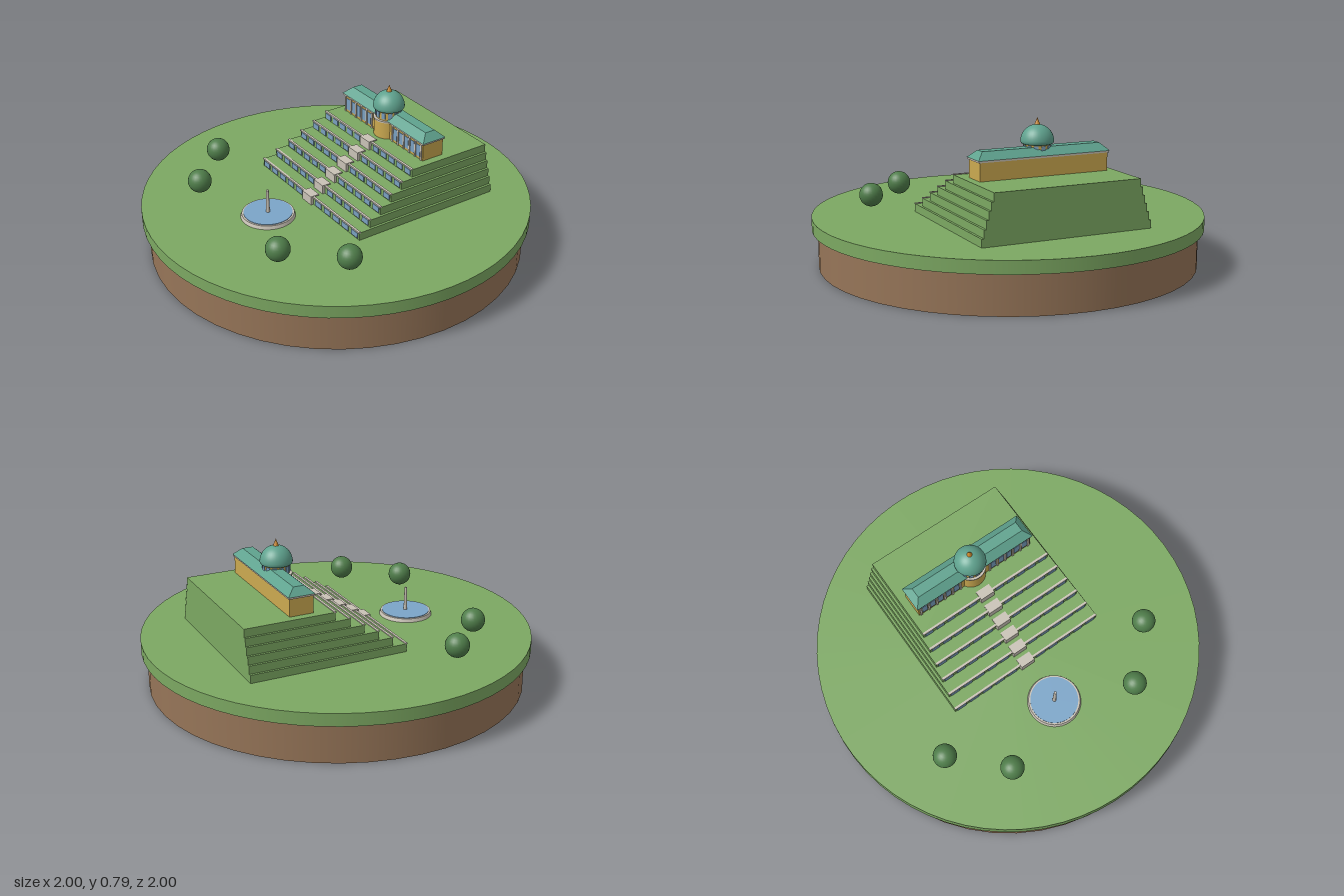
import * as THREE from 'three';

const mat = (name, color) => {
  const m = new THREE.MeshStandardMaterial({ color });
  m.name = name;
  return m;
};

export function createModel() {
  const grass = mat('grass', 0x7ca862);
  const soil = mat('soil', 0x967558);
  const stone = mat('stone', 0xc9c2b6);
  const glass = mat('glass', 0x7aa0c0);
  const ochre = mat('ochreWall', 0xcba950);
  const copper = mat('copperRoof', 0x5fa28e);
  const leaf = mat('leaf', 0x4f7d4a);
  const gold = mat('goldFinial', 0xcc8a30);
  const water = mat('water', 0x7ba5c8);

  const model = new THREE.Group();
  model.name = 'terracedPalaceIsland';

  const add = (parent, name, geo, material, x = 0, y = 0, z = 0) => {
    const m = new THREE.Mesh(geo, material);
    m.name = name;
    m.position.set(x, y, z);
    parent.add(m);
    return m;
  };
  // Box given by its ranges in y and z, centred on x
  const block = (parent, name, material, x, w, y0, y1, z0, z1) =>
    add(parent, name, new THREE.BoxGeometry(w, y1 - y0, z1 - z0), material, x, (y0 + y1) / 2, (z0 + z1) / 2);
  // Upright cylinder given by its range in y
  const drum = (parent, name, material, r0, r1, y0, y1, x, z, n = 32) =>
    add(parent, name, new THREE.CylinderGeometry(r1, r0, y1 - y0, n), material, x, (y0 + y1) / 2, z);

  // Island
  const GROUND = 0.265;
  drum(model, 'soilBase', soil, 0.97, 0.97, 0, 0.2, 0, 0, 48);
  drum(model, 'grassDisc', grass, 1, 1, 0.2, GROUND, 0, 0, 64);

  // Everything on the garden axis is turned together
  const estate = new THREE.Group();
  estate.name = 'estate';
  estate.rotation.y = -THREE.MathUtils.degToRad(20);
  model.add(estate);

  // Terraces with glazed fronts, stone rails and stair blocks
  const STEP = 0.0415, COUNT = 6, BACK = -0.663;
  for (let i = 0; i < COUNT; i++) {
    const y0 = GROUND + i * STEP, y1 = y0 + STEP;
    const front = 0.166 - i * 0.0716;
    const half = 0.447 - i * 0.0125;
    block(estate, 'terrace', grass, 0, half * 2, y0, y1, BACK, front);
    block(estate, 'terraceRail', stone, 0, half * 2, y1 - 0.003, y1 + 0.004, front - 0.008, front + 0.004);
    block(estate, 'stairBlock', stone, 0, 0.08, y0, y1 + 0.006, front - 0.035, front + 0.015);
    const n = 5, pitch = (half - 0.05) / n;
    for (const side of [-1, 1]) {
      for (let k = 0; k < n; k++) {
        block(estate, 'terraceWindow', glass, side * (0.05 + (k + 0.5) * pitch), pitch * 0.68,
          y0 + 0.006, y1 - 0.006, front - 0.003, front + 0.004);
      }
    }
  }

  // Palace
  const palace = new THREE.Group();
  palace.name = 'palace';
  palace.position.set(0, GROUND + COUNT * STEP, -0.352);
  estate.add(palace);

  const WALL = 0.09, HALF = 0.343, DEPTH = 0.062;
  block(palace, 'walls', ochre, 0, HALF * 2, 0, WALL, -DEPTH, DEPTH);
  block(palace, 'cornice', stone, 0, HALF * 2 + 0.012, WALL, WALL + 0.01, -DEPTH - 0.005, DEPTH + 0.005);

  // Windows and pilasters on both wings
  for (const side of [-1, 1]) {
    for (let k = 0; k < 6; k++) {
      const x = side * (0.09 + k * 0.048);
      block(palace, 'pilaster', stone, x, 0.01, 0, WALL, DEPTH - 0.002, DEPTH + 0.005);
      if (k < 5) {
        block(palace, 'window', glass, x + side * 0.024, 0.03, 0.014, WALL - 0.012, DEPTH - 0.002, DEPTH + 0.003);
      }
    }
  }

  // Hipped roof with a narrow flat top
  const roofH = 0.037;
  const roofGeo = new THREE.BoxGeometry(0.704, roofH, 0.14);
  const p = roofGeo.attributes.position;
  for (let i = 0; i < p.count; i++) {
    if (p.getY(i) > 0) {
      p.setX(i, Math.sign(p.getX(i)) * 0.315);
      p.setZ(i, Math.sign(p.getZ(i)) * 0.028);
    }
  }
  roofGeo.computeVertexNormals();
  add(palace, 'roof', roofGeo, copper, 0, WALL + 0.01 + roofH / 2, 0);

  // Round central hall, windowed drum, dome and finial
  const CZ = 0.023;
  drum(palace, 'roundHall', ochre, 0.076, 0.076, 0, 0.094, 0, CZ);
  drum(palace, 'hallCornice', stone, 0.079, 0.079, 0.092, 0.1, 0, CZ);
  drum(palace, 'domeDrum', ochre, 0.066, 0.066, 0.098, 0.152, 0, CZ);
  for (let k = 0; k < 12; k++) {
    const a = (k / 12) * Math.PI * 2;
    const w = add(palace, 'drumWindow', new THREE.BoxGeometry(0.021, 0.034, 0.006), glass,
      Math.sin(a) * 0.066, 0.125, CZ + Math.cos(a) * 0.066);
    w.rotation.y = a;
  }
  const domeProfile = [[0, 0.146], [0.07, 0.146], [0.078, 0.15]];
  for (let k = 0; k <= 14; k++) {
    const a = (k / 14) * Math.PI / 2;
    domeProfile.push([Math.max(0, 0.082 * Math.cos(a)), 0.158 + 0.083 * Math.sin(a)]);
  }
  add(palace, 'dome', new THREE.LatheGeometry(domeProfile.map(q => new THREE.Vector2(...q)), 32), copper, 0, 0, CZ);
  add(palace, 'finial', new THREE.ConeGeometry(0.015, 0.038, 12), gold, 0, 0.256, CZ);

  // Fountain
  const FZ = 0.411;
  drum(estate, 'fountainBasin', stone, 0.138, 0.132, GROUND, GROUND + 0.018, 0, FZ, 40);
  drum(estate, 'fountainWater', water, 0.123, 0.123, GROUND + 0.01, GROUND + 0.021, 0, FZ, 40);
  drum(estate, 'fountainJet', stone, 0.01, 0.007, GROUND + 0.015, 0.41, 0, FZ, 12);

  // Clipped round bushes
  for (const [x, z] of [[-0.707, 0.107], [-0.563, 0.418], [0.155, 0.68], [0.466, 0.535]]) {
    add(model, 'bush', new THREE.SphereGeometry(0.061, 24, 16), leaf, x, 0.335, z);
  }
  return model;
}
